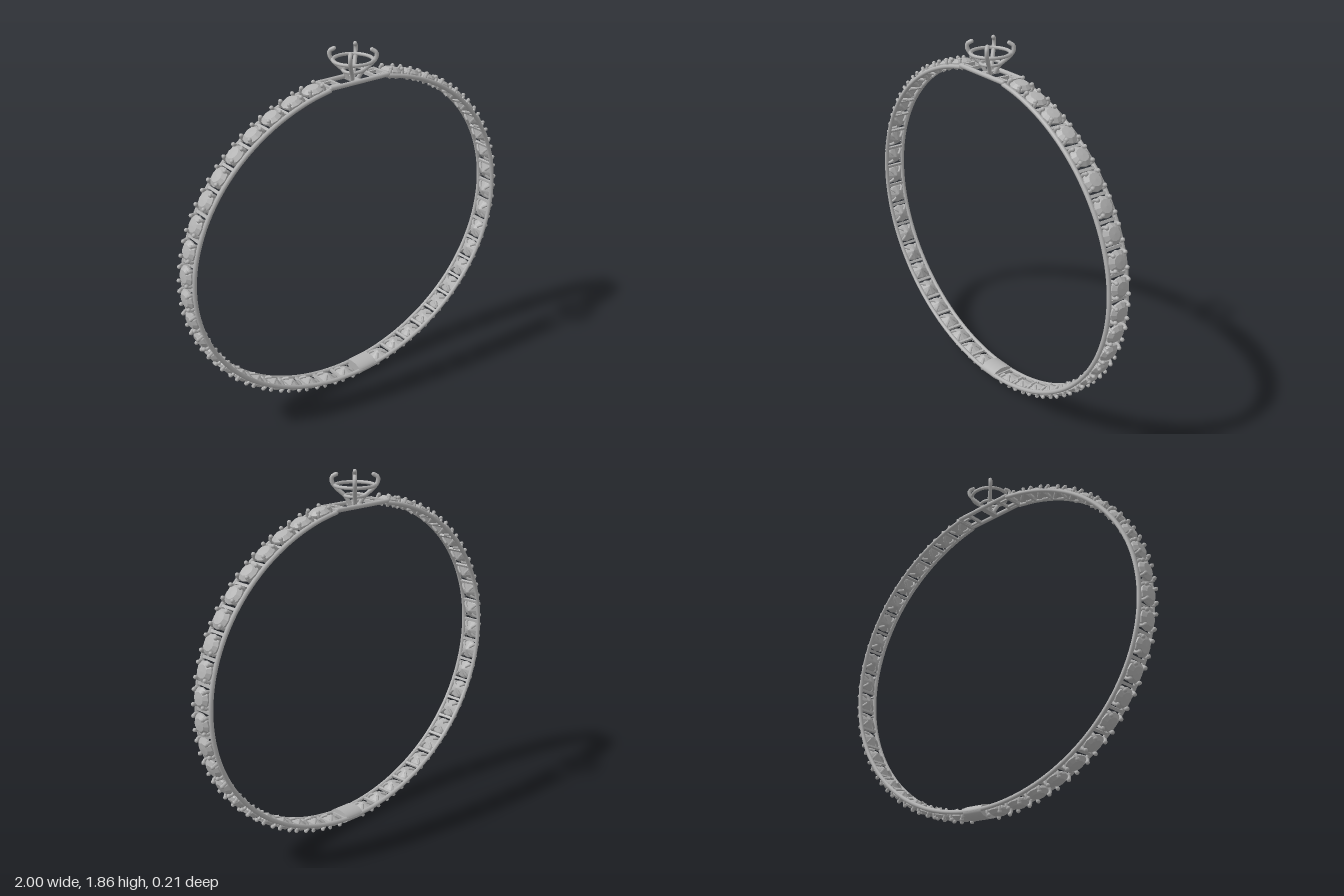
import * as THREE from 'three';

const A = 0.957, B = 0.835, CY = 0.877; // oval of the band
const metal = new THREE.MeshStandardMaterial({ color: 0xb2b2b2 });
metal.name = 'silver';

function add(parent, name, geometry, x = 0, y = 0, z = 0) {
  const m = new THREE.Mesh(geometry, metal);
  m.name = name;
  m.position.set(x, y, z);
  parent.add(m);
  return m;
}

function tube(points, r, segments = 12, sides = 8) {
  const curve = new THREE.CatmullRomCurve3(points.map(p => new THREE.Vector3(...p)));
  return new THREE.TubeGeometry(curve, segments, r, sides);
}

// Angle measured from the bottom of the oval, positive towards +x
const ovalPoint = t => [A * Math.sin(t), CY - B * Math.cos(t)];

// Table of angles at even arc-length steps from the bottom up one side
const N = 2000, lengths = [0];
for (let i = 1; i <= N; i++) {
  const [x0, y0] = ovalPoint((i - 1) / N * Math.PI), [x1, y1] = ovalPoint(i / N * Math.PI);
  lengths.push(lengths[i - 1] + Math.hypot(x1 - x0, y1 - y0));
}
const angleAt = s => lengths.findIndex(l => l >= s) / N * Math.PI;

// Group standing on the oval with local +y pointing outwards
function frameAt(parent, name, t) {
  const g = new THREE.Group();
  const [x, y] = ovalPoint(t);
  g.name = name;
  g.position.set(x, y, 0);
  g.rotation.z = Math.atan2(-Math.sin(t) / A, -Math.cos(t) / B);
  parent.add(g);
  return g;
}

export function createModel() {
  const model = new THREE.Group();
  model.name = 'bracelet';

  // Two side rails, open under the top platform
  const end = Math.PI - 0.18;
  for (const z of [-0.052, 0.052]) {
    const pts = [];
    for (let i = 0; i <= 60; i++) pts.push([...ovalPoint(-end + 2 * end * i / 60), z]);
    add(model, 'rail', tube(pts, 0.011, 160, 8));
  }

  // Cut stone: pavilion, girdle, crown and table
  const profile = [[0, -0.022], [0.046, 0.002], [0.051, 0.008], [0.051, 0.016], [0.032, 0.031], [0, 0.033]];
  const smoothStone = new THREE.LatheGeometry(profile.map(p => new THREE.Vector2(...p)), 12);
  const stone = smoothStone.toNonIndexed();
  stone.computeVertexNormals();
  const prong = tube([[0.016, -0.018, 0.016], [0.034, -0.004, 0.034], [0.04, 0.018, 0.04], [0.034, 0.034, 0.034]], 0.008, 8, 6);
  const bead = new THREE.SphereGeometry(0.0105, 8, 6);
  const bar = new THREE.BoxGeometry(0.014, 0.014, 0.104);

  // Stone settings at even steps; the clasp takes the first slot on the left
  const first = 0.06, step = (lengths[N] - 0.06 - 0.238) / 21;
  for (const side of [-1, 1]) {
    for (let i = 0; i < 22; i++) {
      const s = first + i * step;
      add(frameAt(model, 'spacer', side * angleAt(s + step / 2)), 'crossBar', bar);
      if (side === 1 && i === 0) continue;
      const setting = frameAt(model, 'stoneSetting', side * angleAt(s));
      add(setting, 'stone', stone);
      for (let k = 0; k < 4; k++) {
        const claw = new THREE.Group();
        claw.name = 'claw';
        claw.rotation.y = k * Math.PI / 2;
        add(claw, 'prong', prong);
        add(claw, 'prongTip', bead, 0.035, 0.031, 0.035);
        setting.add(claw);
      }
    }
  }

  // Clasp barrel
  const clasp = frameAt(model, 'clasp', angleAt(first));
  const barrel = add(clasp, 'claspBarrel', new THREE.CylinderGeometry(1, 1, 0.115, 28).rotateZ(Math.PI / 2));
  barrel.scale.set(1, 0.033, 0.062);

  // Flat top platform: long bars, end bars and small inner frames
  for (const s of [-1, 1]) {
    add(model, 'platformBar', new THREE.CapsuleGeometry(0.0115, 0.34, 4, 10).rotateZ(Math.PI / 2), 0, 1.707, s * 0.053);
    add(model, 'platformEnd', new THREE.BoxGeometry(0.016, 0.02, 0.11), s * 0.171, 1.705, 0);
    add(model, 'innerCrossBar', new THREE.BoxGeometry(0.014, 0.016, 0.1), s * 0.108, 1.705, 0);
    for (const z of [-0.03, 0.03])
      add(model, 'innerBar', new THREE.BoxGeometry(0.066, 0.014, 0.012), s * 0.138, 1.705, z);
  }
  add(model, 'headSupport', new THREE.BoxGeometry(0.03, 0.016, 0.1), 0, 1.705, 0);

  // Empty head: two rings and four curled prongs
  const ring = (r, w) => new THREE.TorusGeometry(r, w, 8, 40).rotateX(Math.PI / 2);
  add(model, 'upperRing', ring(0.096, 0.009), 0, 1.8, 0);
  add(model, 'lowerRing', ring(0.048, 0.008), 0, 1.75, 0);
  const path = [[0.02, 1.703], [0.045, 1.745], [0.088, 1.785], [0.11, 1.815], [0.11, 1.84], [0.09, 1.853]];
  const headProng = tube(path.map(([r, y]) => [r, y, 0]), 0.0105, 20, 8);
  for (let k = 0; k < 4; k++) {
    const arm = new THREE.Group();
    arm.name = 'headProng';
    arm.rotation.y = Math.PI / 4 + k * Math.PI / 2;
    add(arm, 'headProngArm', headProng);
    add(arm, 'headProngTip', new THREE.SphereGeometry(0.0105, 10, 8), 0.09, 1.853, 0);
    model.add(arm);
  }
  return model;
}
